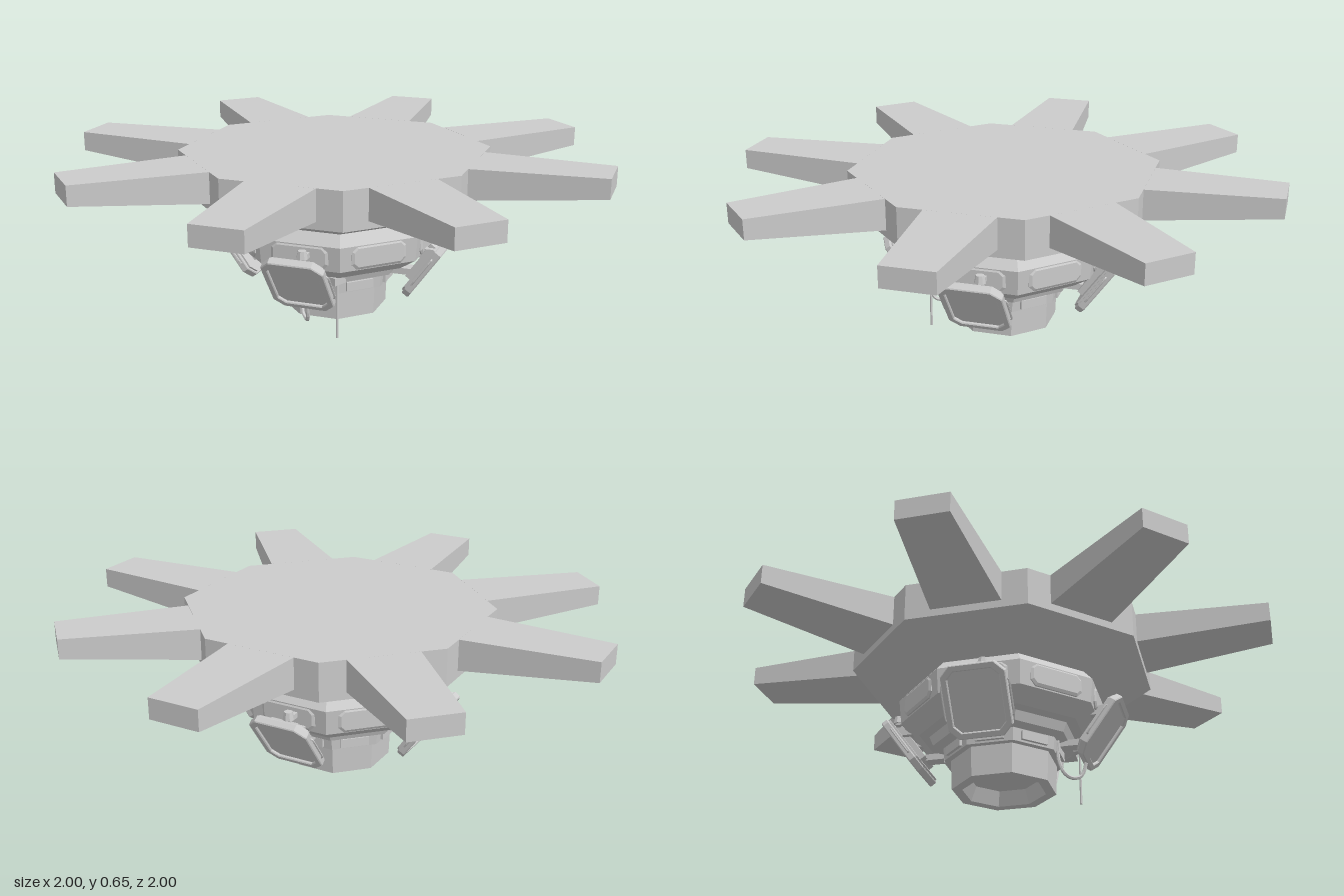
import * as THREE from 'three';

const mat = new THREE.MeshStandardMaterial({ color: 0xcccccc, flatShading: true });
const EIGHTH = Math.PI / 4;

function add(parent, name, geometry, x = 0, y = 0, z = 0) {
  const mesh = new THREE.Mesh(geometry, mat);
  mesh.name = name;
  mesh.position.set(x, y, z);
  parent.add(mesh);
  return mesh;
}

// Eight-sided turned body; corners lie on the x and z axes
function octagonal(points) {
  return new THREE.LatheGeometry(points.map(p => new THREE.Vector2(...p)), 8);
}

// Rectangle with cut corners
function cutRect(Type, w, h, c) {
  const x = w / 2, y = h / 2;
  return new Type([[x - c, -y], [x, c - y], [x, y - c], [x - c, y], [c - x, y], [-x, y - c], [-x, c - y], [c - x, -y]]
    .map(p => new THREE.Vector2(...p)));
}

// Arm pointing along +z, narrowing and thinning toward its tip
function armGeometry() {
  const g = new THREE.BoxGeometry(1, 1, 1);
  const p = g.attributes.position;
  for (let i = 0; i < p.count; i++) {
    const tip = p.getZ(i) > 0, top = p.getY(i) > 0;
    p.setXYZ(i, Math.sign(p.getX(i)) * (tip ? 0.094 : 0.132),
      top ? 0.655 : (tip ? 0.58 : 0.538), tip ? 1.044 : 0.55);
  }
  return g;
}

// Outward-leaning panel with raised rim, mount and fittings
function makePanel() {
  const panel = new THREE.Group();
  panel.name = 'sidePanel';
  const board = new THREE.Group();
  board.name = 'panelBoard';
  board.position.set(0, 0.24, 0.385);
  board.rotation.x = 0.62;
  panel.add(board);

  add(board, 'panelPlate', new THREE.ExtrudeGeometry(cutRect(THREE.Shape, 0.22, 0.25, 0.03),
    { depth: 0.026, bevelEnabled: false }), 0, 0, -0.018);
  const rim = cutRect(THREE.Shape, 0.234, 0.264, 0.036);
  rim.holes.push(cutRect(THREE.Path, 0.198, 0.228, 0.028));
  add(board, 'panelRim', new THREE.ExtrudeGeometry(rim,
    { depth: 0.022, bevelEnabled: true, bevelSize: 0.003, bevelThickness: 0.004, bevelSegments: 1 }), 0, 0, -0.007);
  add(board, 'panelBackRib', new THREE.BoxGeometry(0.11, 0.17, 0.025), 0, 0, -0.028);

  for (const s of [-1, 1]) {
    // Handles along both edges
    const path = new THREE.CatmullRomCurve3([[0.112, -0.07, 0], [0.127, -0.06, 0], [0.127, 0.06, 0], [0.112, 0.07, 0]]
      .map(([x, y, z]) => new THREE.Vector3(s * x, y, z)), false, 'catmullrom', 0.1);
    add(board, 'panelHandle', new THREE.TubeGeometry(path, 10, 0.004, 5));
    add(panel, 'mountArm', new THREE.BoxGeometry(0.03, 0.035, 0.1), s * 0.06, 0.3, 0.37);
  }
  add(panel, 'lowerStrut', new THREE.BoxGeometry(0.05, 0.025, 0.12), 0, 0.2, 0.28);
  add(panel, 'knob', new THREE.CylinderGeometry(0.016, 0.022, 0.03, 8), 0.03, 0.368, 0.425);
  add(panel, 'knobStem', new THREE.BoxGeometry(0.025, 0.02, 0.07), 0.03, 0.355, 0.4);
  return panel;
}

export function createModel() {
  const model = new THREE.Group();
  model.name = 'armedHub';

  // Flat hub with tapered underside
  add(model, 'hub', octagonal([[0, 0.43], [0.37, 0.43], [0.595, 0.51], [0.595, 0.655], [0, 0.655]]));

  // Eight radiating arms
  const arm = armGeometry();
  for (let i = 0; i < 8; i++) add(model, 'arm', arm).rotation.y = (i + 0.5) * EIGHTH;

  // Stepped body below the hub, hollow at the bottom
  add(model, 'body', octagonal([
    [0, 0.09], [0.135, 0.09], [0.16, 0.035], [0.2, 0.035], [0.205, 0.15], [0.23, 0.15], [0.235, 0.2],
    [0.275, 0.21], [0.29, 0.245], [0.33, 0.25], [0.4, 0.295], [0.41, 0.39], [0.37, 0.435], [0, 0.435]]));

  // Bevelled plates around the body and its neck
  const plate = new THREE.ExtrudeGeometry(cutRect(THREE.Shape, 0.2, 0.07, 0.015),
    { depth: 0.006, bevelEnabled: true, bevelSize: 0.01, bevelThickness: 0.006, bevelSegments: 1 });
  const neckBlock = new THREE.BoxGeometry(0.11, 0.035, 0.02);
  for (let i = 0; i < 8; i++) {
    const side = new THREE.Group();
    side.name = 'bodySide';
    side.rotation.y = (i + 0.5) * EIGHTH;
    add(side, 'bodyPlate', plate, 0, 0.345, 0.37);
    add(side, 'neckBlock', neckBlock, 0, 0.175, 0.215);
    model.add(side);
  }

  // Four side panels
  for (let i = 0; i < 4; i++) {
    const panel = makePanel();
    panel.rotation.y = (i * 2 + 0.5) * EIGHTH;
    model.add(panel);
  }

  // Hanging cable loop
  const loop = new THREE.CatmullRomCurve3([[0.04, 0.23, 0.22], [0.04, 0.12, 0.225], [0.055, 0.07, 0.24], [0.085, 0.057, 0.255],
    [0.115, 0.07, 0.275], [0.125, 0.12, 0.29], [0.125, 0.19, 0.3]].map(p => new THREE.Vector3(...p)));
  add(model, 'cableLoop', new THREE.TubeGeometry(loop, 24, 0.007, 6));

  // Thin rod reaching the lowest point
  add(model, 'rod', new THREE.CylinderGeometry(0.005, 0.005, 0.26, 6), 0.205, 0.13, 0.212);
  add(model, 'rodClamp', new THREE.BoxGeometry(0.03, 0.03, 0.06), 0.195, 0.225, 0.2);

  return model;
}
